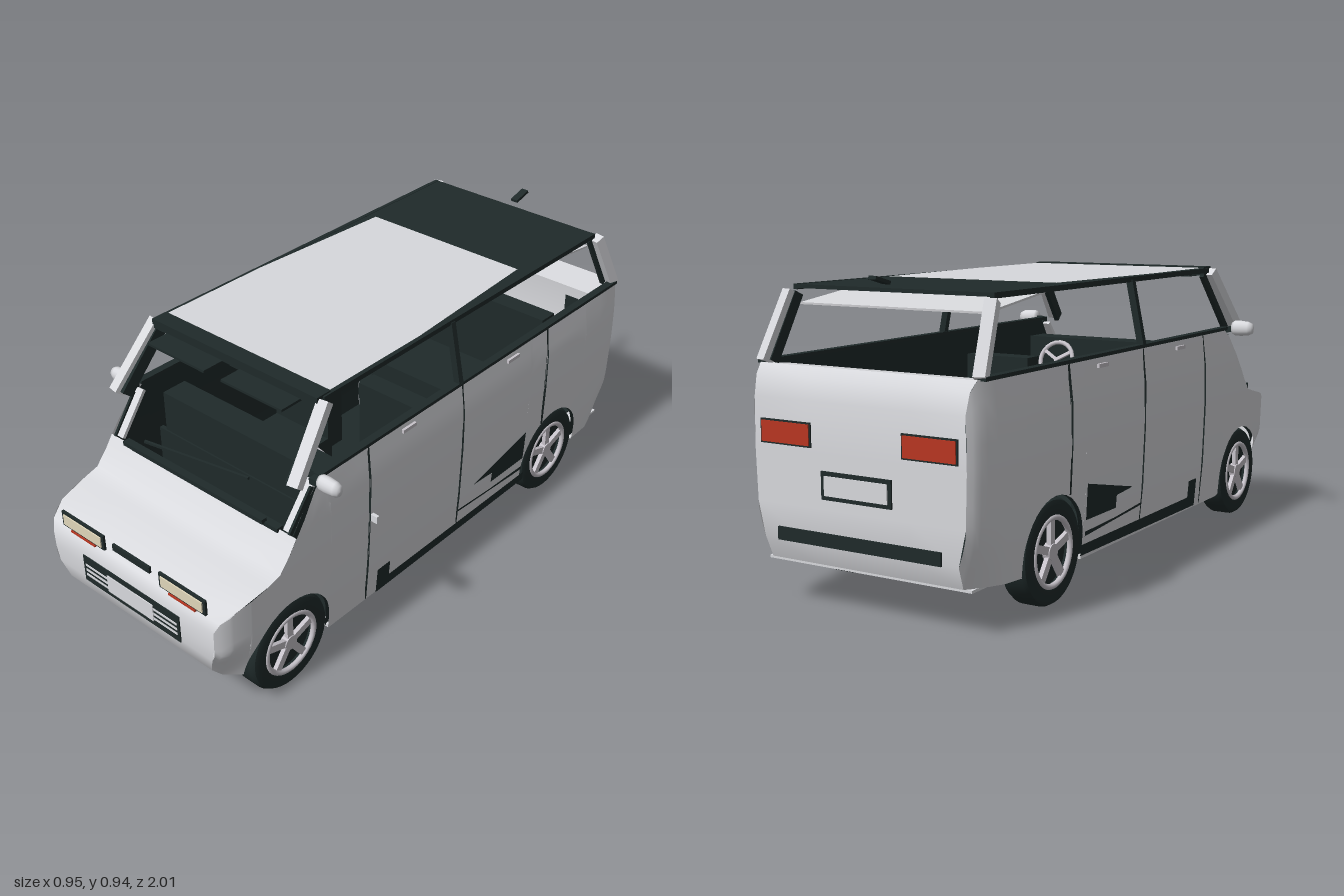
import * as THREE from 'three';
import { toCreasedNormals } from 'three/addons/utils/BufferGeometryUtils.js';

const mat = (name, color) => Object.assign(new THREE.MeshStandardMaterial({ color, side: THREE.DoubleSide }), { name });
const paint = mat('silver paint', 0xd8d9dd);
const dark = mat('dark trim', 0x1f2a2a);
const metal = mat('wheel metal', 0xc8c4cb);
const cream = mat('headlight lens', 0xe0d6ba);
const red = mat('tail light red', 0xb93621);

// Piecewise linear lookup through [key, value] pairs
function lerpTable(t, k) {
  if (k <= t[0][0]) return t[0][1];
  for (let i = 1; i < t.length; i++) {
    if (k <= t[i][0]) {
      const f = (k - t[i - 1][0]) / (t[i][0] - t[i - 1][0]);
      return t[i - 1][1] + f * (t[i][1] - t[i - 1][1]);
    }
  }
  return t[t.length - 1][1];
}

// Body outline rules: z -> top and bottom edge, y -> half width, |z| -> corner rounding
const TOP = [[-0.99, 0.6], [-0.975, 0.66], [-0.95, 0.69], [0.58, 0.69], [0.62, 0.66], [0.74, 0.5], [0.78, 0.455],
  [0.83, 0.442], [0.93, 0.42], [0.985, 0.39], [1, 0.36]];
const BOTTOM = [[-0.99, 0.2], [-0.965, 0.135], [-0.75, 0.12], [-0.42, 0.1], [0.56, 0.1], [0.9, 0.13], [0.95, 0.15], [0.985, 0.19], [1, 0.25]];
const WIDTH = [[0.1, 0.376], [0.25, 0.389], [0.45, 0.396], [0.58, 0.395], [0.69, 0.383]];
const CORNER = [[0.84, 1], [0.89, 0.992], [0.93, 0.975], [0.96, 0.955], [0.98, 0.93], [1, 0.89]];
const AXLES = [0.73, -0.59], AXLE_Y = 0.157, ARCH = 0.165;

function halfWidth(y, z) {
  const taper = THREE.MathUtils.clamp((Math.abs(z) - 0.84) / 0.14, 0, 1) * Math.max(0, 0.27 - y) * (z > 0 ? 0.5 : 0.25);
  return lerpTable(WIDTH, y) * lerpTable(CORNER, Math.abs(z)) - taper;
}
function bottomAt(z) {
  let y = lerpTable(BOTTOM, z);
  for (const a of AXLES) {
    const d = ARCH * ARCH - (z - a) ** 2;
    if (d >= 0) y = Math.max(y, AXLE_Y + Math.sqrt(d));
  }
  return y;
}

// Surface through rows of equal length
function grid(rows, crease = 0.9) {
  const n = rows[0].length, idx = [];
  for (let i = 0; i < rows.length - 1; i++)
    for (let j = 0; j < n - 1; j++) {
      const a = i * n + j, b = a + n;
      idx.push(a, b, a + 1, b, b + 1, a + 1);
    }
  const g = new THREE.BufferGeometry().setFromPoints(rows.flat());
  g.setIndex(idx);
  return toCreasedNormals(g, crease);
}

// Side wall with wheel arches cut out
function sideWall(s, inset) {
  const zs = new Set([...TOP, ...BOTTOM].map(p => p[0]));
  for (let z = -0.4; z < 0.56; z += 0.12) zs.add(z);
  [-0.93, -0.89, -0.84, 0.84, 0.89, 0.96].forEach(z => zs.add(z));
  for (const a of AXLES) {
    for (let i = 0; i <= 18; i++) zs.add(a + ARCH * 0.9999 * Math.cos(i * Math.PI / 18));
    zs.add(a + ARCH + 0.0005).add(a - ARCH - 0.0005);
  }
  const cols = [...zs].filter(z => !inset || (z > -0.93 && z < 0.93)).sort((a, b) => a - b);
  return grid(cols.map(z => {
    const b = bottomAt(z), t = lerpTable(TOP, z);
    return Array.from({ length: 11 }, (_, k) => {
      const y = b + (t - b) * k / 10;
      return new THREE.Vector3(s * (halfWidth(y, z) - inset), y, z);
    });
  }));
}
// Panel across the car following [z, y] points
const skin = pts => grid(pts.map(([z, y]) => [-1, -0.5, 0, 0.5, 1].map(u => new THREE.Vector3(u * halfWidth(y, z), y, z))));

// Thin flat patch laid on the side, outline in [z, y]
function decal(s, pts, lift = 0.003) {
  const g = new THREE.ShapeGeometry(new THREE.Shape(pts.map(p => new THREE.Vector2(...p))));
  const p = g.attributes.position;
  for (let i = 0; i < p.count; i++) {
    const z = p.getX(i), y = p.getY(i);
    p.setXYZ(i, s * (halfWidth(y, z) + lift), y, z);
  }
  g.computeVertexNormals();
  return g;
}
// Strip of constant width from points in [z, y]
const seam = (s, pts, w) => decal(s, [...pts.map(([z, y]) => [z - w, y]), ...pts.map(([z, y]) => [z + w, y]).reverse()]);

export function createModel() {
  const root = new THREE.Group();
  root.name = 'van';
  const add = (name, geo, m, parent = root) => {
    const mesh = new THREE.Mesh(geo, m);
    mesh.name = name;
    parent.add(mesh);
    return mesh;
  };
  const box = (name, m, x0, x1, y0, y1, z0, z1) => {
    const b = add(name, new THREE.BoxGeometry(x1 - x0, y1 - y0, z1 - z0), m);
    b.position.set((x0 + x1) / 2, (y0 + y1) / 2, (z0 + z1) / 2);
    return b;
  };
  const beam = (name, m, p, q, w, d) => {
    const a = new THREE.Vector3(...p), b = new THREE.Vector3(...q);
    const mesh = add(name, new THREE.BoxGeometry(w, d, a.distanceTo(b)), m);
    mesh.position.copy(a).add(b).multiplyScalar(0.5);
    mesh.lookAt(b);
    return mesh;
  };

  // Nose, tail and floor
  add('nose', skin([[0.71, 0.543], [0.74, 0.5], [0.78, 0.455], [0.83, 0.442], [0.93, 0.42], [0.985, 0.39], [1, 0.36], [1, 0.3],
    [1, 0.25], [0.985, 0.19], [0.95, 0.15], [0.9, 0.13]]), paint);
  add('tail', skin([[-0.83, 0.675], [-0.95, 0.69], [-0.975, 0.66], [-0.99, 0.6], [-0.99, 0.45], [-0.99, 0.3], [-0.99, 0.2],
    [-0.965, 0.135], [-0.75, 0.12]]), paint);
  beam('noseUndertray', paint, [0, 0.13, 0.905], [0, 0.11, 0.72], 0.58, 0.005);
  box('floor', paint, -0.372, 0.372, 0.095, 0.107, -0.42, 0.56);
  box('floorLip', paint, -0.29, 0.29, 0.095, 0.132, 0.55, 0.56);
  box('floorCarpet', dark, -0.36, 0.36, 0.109, 0.115, -0.42, 0.54);
  box('rearFloor', paint, -0.285, 0.285, 0.11, 0.12, -0.8, -0.42);
  box('tailFloor', paint, -0.35, 0.35, 0.125, 0.133, -0.955, -0.75);
  box('rearCarpet', dark, -0.285, 0.285, 0.136, 0.142, -0.95, -0.42);

  for (const s of [1, -1]) {
    const span = (a, b) => s > 0 ? [a, b] : [-b, -a];
    add('sidePanel', sideWall(s, 0), paint);
    add('sideLining', sideWall(s, 0.014), dark);
    box('beltTrim', dark, ...span(0.362, 0.388), 0.686, 0.697, -0.94, 0.6);
    // Door seams
    add('frontDoorSeam', seam(s, [[0.395, 0.105], [0.397, 0.25], [0.397, 0.45], [0.395, 0.58], [0.393, 0.685]], 0.003), dark);
    add('middleDoorSeam', seam(s, [[-0.06, 0.14], [-0.057, 0.25], [-0.055, 0.45], [-0.055, 0.58], [-0.053, 0.685]], 0.003), dark);
    add('rearDoorSeam', seam(s, [[-0.517, 0.31], [-0.515, 0.45], [-0.515, 0.58], [-0.515, 0.685]], 0.005), dark);
    // Sill, step and side vents
    add('sill', decal(s, [[0.35, 0.105], [-0.44, 0.11], [-0.44, 0.143], [0.35, 0.143]], 0.006), dark);
    add('sillStep', decal(s, [[0.29, 0.14], [0.35, 0.14], [0.35, 0.2], [0.29, 0.2]], 0.006), dark);
    add('sideVent', decal(s, [[-0.13, 0.262], [-0.42, 0.325], [-0.42, 0.215], [-0.235, 0.215], [-0.235, 0.255]], 0.005), dark);
    add('ventLine', decal(s, [[-0.06, 0.198], [-0.24, 0.185], [-0.42, 0.18], [-0.42, 0.166], [-0.06, 0.19]], 0.005), dark);
    for (const z of [0.21, -0.32]) {
      const x = s * (halfWidth(0.663, z) + 0.003);
      box('doorHandle', metal, x - 0.005, x + 0.005, 0.656, 0.668, z - 0.03, z + 0.03);
    }
    // Windscreen frame and pillars
    beam('screenFrame', paint, [s * 0.358, 0.545, 0.705], [s * 0.36, 0.675, 0.605], 0.03, 0.012);
    beam('screenSeal', dark, [s * 0.372, 0.545, 0.712], [s * 0.374, 0.665, 0.622], 0.008, 0.014);
    beam('frontPillar', paint, [s * 0.374, 0.698, 0.69], [s * 0.346, 0.893, 0.53], 0.036, 0.034);
    beam('frontPillarLining', dark, [s * 0.348, 0.692, 0.675], [s * 0.33, 0.888, 0.515], 0.016, 0.04);
    beam('middlePillar', dark, [s * 0.378, 0.69, -0.045], [s * 0.336, 0.895, -0.045], 0.02, 0.022);
    beam('rearPillar', paint, [s * 0.368, 0.69, -0.935], [s * 0.345, 0.885, -0.842], 0.035, 0.034);
    beam('rearPillarLining', dark, [s * 0.347, 0.69, -0.92], [s * 0.328, 0.88, -0.83], 0.012, 0.03);
    beam('roofRail', dark, [s * 0.337, 0.897, 0.53], [s * 0.337, 0.897, -0.83], 0.014, 0.016);
    // Door mirror
    const shell = [[0, 0], [0.02, 0], [0.026, 0.01], [0.027, 0.03], [0.024, 0.06], [0.018, 0.074], [0, 0.077]];
    const mirror = add('doorMirror', new THREE.LatheGeometry(shell.map(p => new THREE.Vector2(...p)), 16), paint);
    mirror.rotation.z = -s * Math.PI / 2;
    mirror.scale.z = 0.8;
    mirror.position.set(s * 0.4, 0.693, 0.615);
    beam('mirrorArm', dark, [s * 0.37, 0.685, 0.615], [s * 0.405, 0.69, 0.615], 0.025, 0.02);
    // Lights
    box('headlightFrame', dark, ...span(0.12, 0.31), 0.394, 0.446, 0.981, 0.989);
    box('headlightLens', cream, ...span(0.13, 0.3), 0.402, 0.438, 0.987, 0.993);
    box('indicatorStrip', red, ...span(0.16, 0.27), 0.388, 0.394, 0.984, 0.993);
    box('tailLightFrame', dark, ...span(0.155, 0.335), 0.47, 0.54, -0.994, -0.99);
    box('tailLight', red, ...span(0.16, 0.33), 0.475, 0.535, -0.997, -0.992);
    // Seats and sun visors
    box('seatBase', dark, ...span(0.07, 0.31), 0.11, 0.34, 0.05, 0.3);
    box('seatBack', dark, ...span(0.07, 0.31), 0.3, 0.62, 0.0, 0.07);
    box('sunVisor', dark, ...span(0.035, 0.275), 0.874, 0.882, 0.52, 0.63);
  }

  // Front trim: slot, grille and plate
  box('noseSlot', dark, -0.08, 0.08, 0.418, 0.44, 0.981, 0.989);
  box('grille', dark, -0.21, 0.21, 0.245, 0.34, 1.0005, 1.004);
  box('frontPlate', paint, -0.1, 0.1, 0.262, 0.322, 1.003, 1.007);
  for (const y of [0.272, 0.29, 0.308]) box('grilleBar', paint, -0.2, 0.2, y - 0.004, y + 0.004, 1.002, 1.0055);
  // Rear trim
  box('rearPlateFrame', dark, -0.12, 0.12, 0.33, 0.41, -0.995, -0.99);
  box('rearPlate', paint, -0.108, 0.108, 0.342, 0.398, -0.998, -0.993);
  box('rearBumperStrip', dark, -0.28, 0.28, 0.197, 0.235, -0.997, -0.99);
  box('fuelFlap', paint, 0.39, 0.42, 0.42, 0.444, 0.38, 0.392);

  // Roof
  box('roof', dark, -0.335, 0.335, 0.893, 0.904, -0.83, 0.53);
  add('roofPanel', grid([[-0.44, 0.3], [0.1, 0.332], [0.495, 0.332]].map(([z, x]) =>
    [new THREE.Vector3(-x, 0.907, z), new THREE.Vector3(x, 0.907, z)])), paint);
  box('roofHeader', dark, -0.338, 0.338, 0.88, 0.91, 0.5, 0.555);
  beam('rearHeadliner', paint, [0, 0.888, -0.53], [0, 0.85, -0.83], 0.64, 0.006);
  box('rearViewMirror', dark, -0.045, 0.045, 0.846, 0.872, 0.5, 0.52);
  beam('aerial', dark, [0, 0.92, -0.84], [0, 0.937, -0.905], 0.026, 0.01);

  // Cowl, wiper, dashboard and steering wheel
  box('cowl', dark, -0.33, 0.33, 0.535, 0.549, 0.695, 0.72);
  box('cowlVent', dark, -0.28, 0.28, 0.545, 0.56, 0.71, 0.73);
  beam('wiper', dark, [-0.26, 0.565, 0.69], [0.15, 0.6, 0.65], 0.008, 0.008);
  box('dashboard', dark, -0.335, 0.335, 0.44, 0.64, 0.45, 0.54);
  box('bulkhead', dark, -0.362, 0.362, 0.134, 0.5, 0.53, 0.545);
  box('rearBench', dark, -0.28, 0.28, 0.13, 0.36, -0.65, -0.4);
  box('rearBenchBack', dark, -0.28, 0.28, 0.3, 0.62, -0.72, -0.65);
  const steering = new THREE.Group();
  steering.name = 'steeringWheel';
  add('steeringRim', new THREE.TorusGeometry(0.065, 0.008, 8, 24), metal, steering);
  for (let i = 0; i < 3; i++) {
    const spoke = add('steeringSpoke', new THREE.BoxGeometry(0.012, 0.065, 0.008).translate(0, 0.0325, 0), metal, steering);
    spoke.rotation.z = Math.PI + i * Math.PI * 2 / 3;
  }
  steering.position.set(0.2, 0.565, 0.41);
  steering.rotation.x = 0.4;
  root.add(steering);

  // Wheels: tyre, rim ring and five spokes
  const profile = [[0, -0.045], [0.13, -0.045], [0.15, -0.04], [0.157, -0.028], [0.157, 0.028], [0.15, 0.04], [0.135, 0.045],
    [0.108, 0.043], [0.1, 0.02], [0, 0.02]].map(p => new THREE.Vector2(...p));
  const tyreGeo = toCreasedNormals(new THREE.LatheGeometry(profile, 40), 0.7).rotateX(Math.PI / 2);
  for (const z of AXLES) for (const s of [1, -1]) {
    const wheel = new THREE.Group();
    wheel.name = 'wheel';
    add('tyre', tyreGeo, dark, wheel);
    add('rim', new THREE.TorusGeometry(0.1, 0.009, 8, 36), metal, wheel).position.z = 0.038;
    const hub = add('hub', new THREE.CylinderGeometry(0.024, 0.028, 0.022, 16), metal, wheel);
    hub.rotation.x = Math.PI / 2;
    hub.position.z = 0.032;
    for (let i = 0; i < 5; i++) {
      const spoke = add('spoke', new THREE.BoxGeometry(0.024, 0.085, 0.014).translate(0, 0.055, 0.033), metal, wheel);
      spoke.rotation.z = i * Math.PI * 2 / 5;
    }
    wheel.rotation.y = s * Math.PI / 2;
    wheel.position.set(s * 0.339, AXLE_Y, z);
    root.add(wheel);
  }
  return root;
}
